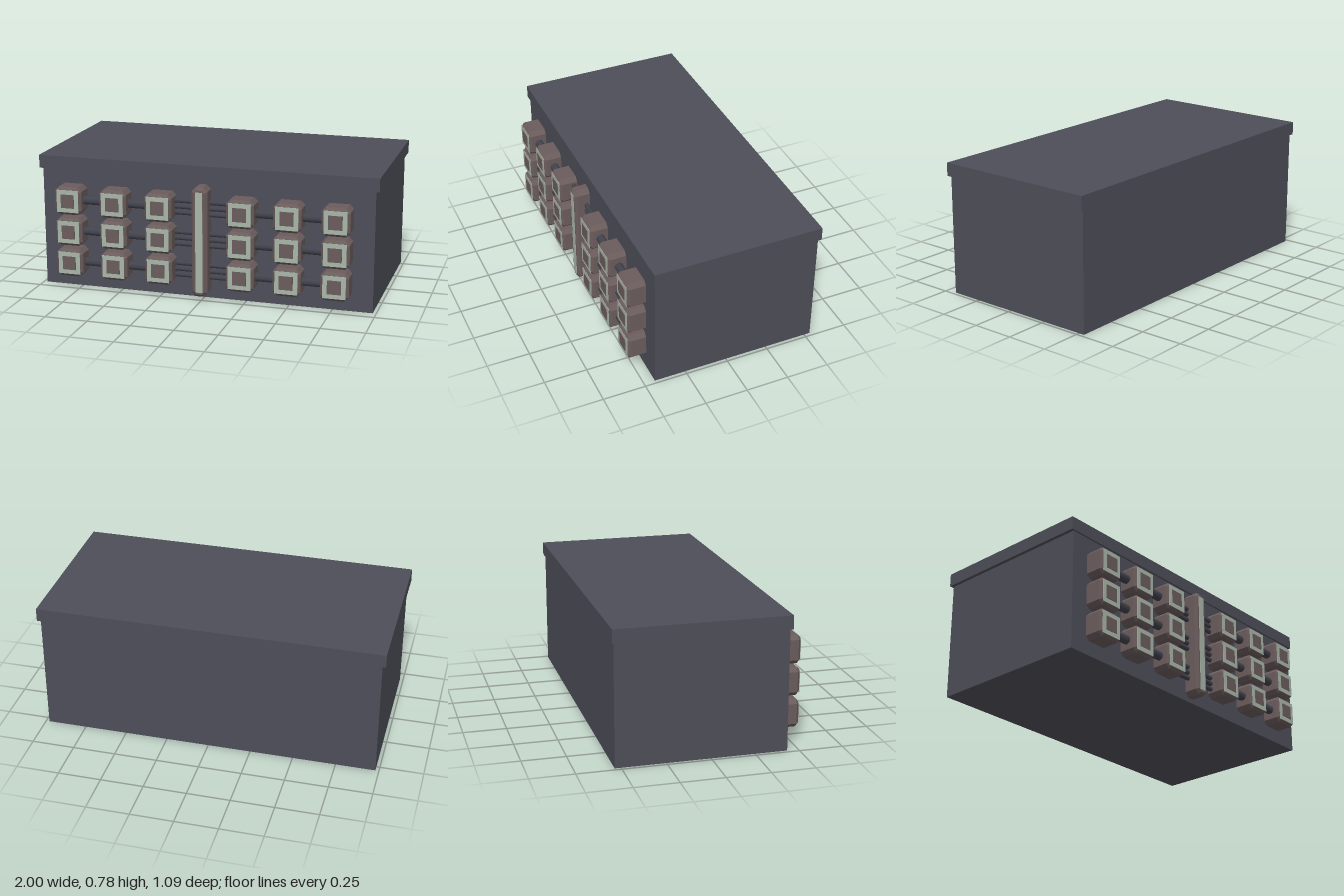
import * as THREE from 'three';

const mat = (name, color) => {
  const m = new THREE.MeshStandardMaterial({ color });
  m.name = name;
  return m;
};

export function createModel() {
  const slate = mat('slate casing', 0x4e4e59);
  const brown = mat('brown housing', 0x6b5c5c);
  const pale = mat('pale green trim', 0xaab6aa);
  const steel = mat('dark steel', 0x42434d);
  const model = new THREE.Group();
  model.name = 'cabinet';

  const add = (parent, name, geometry, material, x, y, z) => {
    const mesh = new THREE.Mesh(geometry, material);
    mesh.name = name;
    mesh.position.set(x, y, z);
    parent.add(mesh);
    return mesh;
  };

  // Block with chamfered corners and a chamfered front rim; its back sits at z = 0
  const chamferBlock = (w, h, depth, c) => {
    const a = w / 2 - c, b = h / 2 - c;
    const shape = new THREE.Shape([
      [-a + c, -b], [a - c, -b], [a, -b + c], [a, b - c],
      [a - c, b], [-a + c, b], [-a, b - c], [-a, -b + c],
    ].map(([x, y]) => new THREE.Vector2(x, y)));
    const g = new THREE.ExtrudeGeometry(shape, {
      depth: depth - c, bevelEnabled: true, bevelThickness: c, bevelSize: c, bevelSegments: 1,
    });
    return g;
  };

  // Square ring lying flat on a block face
  const ringGeometry = (outer, inner, depth) => {
    const square = (Type, s) => new Type([[-s, -s], [s, -s], [s, s], [-s, s]]
      .map(([x, y]) => new THREE.Vector2(x / 2, y / 2)));
    const shape = square(THREE.Shape, outer);
    shape.holes.push(square(THREE.Path, inner));
    return new THREE.ExtrudeGeometry(shape, { depth, bevelEnabled: false });
  };

  // Casing and overhanging lid
  add(model, 'casing', new THREE.BoxGeometry(1.96, 0.7, 0.97), slate, 0, 0.35, -0.05);
  add(model, 'lid', new THREE.BoxGeometry(2, 0.077, 0.99), slate, 0, 0.7385, -0.05);

  const face = 0.435;
  const columns = [-0.79, -0.518, -0.246, 0.236, 0.506, 0.779];
  const rows = [0.537, 0.352, 0.166];
  const blockShape = chamferBlock(0.162, 0.164, 0.106, 0.015);
  const ring = ringGeometry(0.132, 0.08, 0.003);
  const knob = new THREE.BoxGeometry(0.08, 0.08, 0.012);

  // Horizontal rod between two x positions
  const rod = (name, x0, x1, y, z, radius) => {
    const g = new THREE.CylinderGeometry(radius, radius, x1 - x0, 8);
    add(model, name, g, steel, (x0 + x1) / 2, y, z).rotation.z = Math.PI / 2;
  };

  for (const y of rows) {
    // Grid of modules
    for (const x of columns) {
      const unit = new THREE.Group();
      unit.name = 'module';
      unit.position.set(x, y, face);
      model.add(unit);
      add(unit, 'moduleBlock', blockShape, brown, 0, 0, 0);
      add(unit, 'moduleTrim', ring, pale, 0, 0, 0.105);
      add(unit, 'moduleButton', knob, brown, 0, 0, 0.105);
    }
    // Single rods along each side, thin triple rods toward the centre
    rod('connectingRod', columns[0], columns[2], y, 0.48, 0.026);
    rod('connectingRod', columns[3], columns[5], y, 0.48, 0.026);
    for (const dy of [-0.035, 0, 0.035]) {
      rod('centreRod', columns[2], columns[3], y + dy, 0.457, 0.014);
    }
  }

  // Upright centre bar with pale strip
  add(model, 'centreBar', chamferBlock(0.092, 0.645, 0.09, 0.016), brown, -0.005, 0.349, face);
  add(model, 'centreStrip', new THREE.BoxGeometry(0.042, 0.59, 0.006), pale, -0.005, 0.349, 0.524);

  return model;
}
